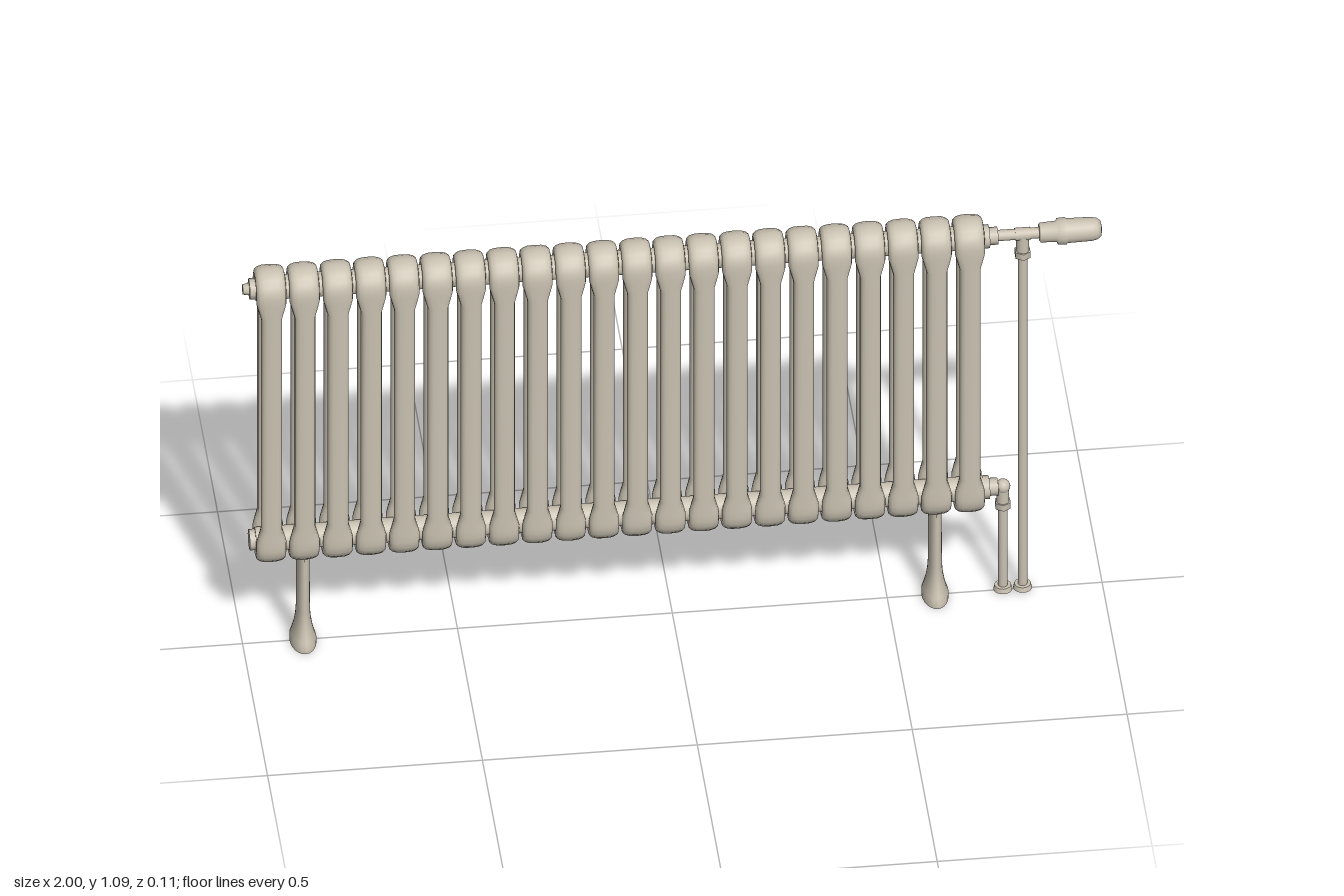
import * as THREE from 'three';

const TOP = 1.037, BOTTOM = 0.303;
const SECTIONS = 22, FIRST_X = -0.937, PITCH = 0.0774;

// Closed loop of tube: two columns joined by wider, rounded heads
function sectionGeometry() {
  const stations = [];
  const add = (y, z, angle, halfWidth) => stations.push({ y, z, angle, halfWidth });
  const R = 0.0372, HEAD = 0.035, COLUMN = 0.0245, ARC = 10, SIDES = 16, HALF_DEPTH = 0.0178;
  const side = [[BOTTOM + 0.018, HEAD], [BOTTOM + 0.035, 0.031], [BOTTOM + 0.06, COLUMN],
    [TOP - 0.06, COLUMN], [TOP - 0.035, 0.031], [TOP - 0.018, HEAD]];
  for (const [y, w] of side) add(y, R, 0, w);
  for (let i = 0; i <= ARC; i++) {
    const a = Math.PI * i / ARC;
    add(TOP + R * Math.sin(a), R * Math.cos(a), a, HEAD);
  }
  for (const [y, w] of [...side].reverse()) add(y, -R, Math.PI, w);
  for (let i = 0; i <= ARC; i++) {
    const a = Math.PI * (1 + i / ARC);
    add(BOTTOM + R * Math.sin(a), R * Math.cos(a), a, HEAD);
  }
  const soft = v => Math.sign(v) * Math.pow(Math.abs(v), 0.75);
  const pos = [], idx = [], n = stations.length;
  stations.forEach((s, i) => {
    for (let j = 0; j < SIDES; j++) {
      const p = 2 * Math.PI * j / SIDES;
      const d = HALF_DEPTH * soft(Math.sin(p));
      pos.push(s.halfWidth * soft(Math.cos(p)), s.y + d * Math.sin(s.angle), s.z + d * Math.cos(s.angle));
      const k = (j + 1) % SIDES, m = (i + 1) % n;
      const a = i * SIDES + j, b = m * SIDES + j, c = i * SIDES + k, e = m * SIDES + k;
      idx.push(a, b, c, b, e, c);
    }
  });
  const g = new THREE.BufferGeometry();
  g.setAttribute('position', new THREE.Float32BufferAttribute(pos, 3));
  g.setIndex(idx);
  g.computeVertexNormals();
  return g;
}

// Flared oval leg from stacked [y, half width, half depth] rings
function legGeometry() {
  const rings = [[0, 0.031, 0.056], [0.012, 0.031, 0.056], [0.024, 0.027, 0.051], [0.045, 0.022, 0.042],
    [0.07, 0.018, 0.036], [0.1, 0.016, 0.033], [0.27, 0.015, 0.033]];
  const g = new THREE.CylinderGeometry(1, 1, 1, 24, rings.length - 1);
  const p = g.attributes.position;
  for (let i = 0; i < p.count; i++) {
    const r = rings[Math.round((p.getY(i) + 0.5) * (rings.length - 1))];
    p.setXYZ(i, p.getX(i) * r[1], r[0], p.getZ(i) * r[2]);
  }
  g.computeVertexNormals();
  return g;
}

export function createModel() {
  const model = new THREE.Group();
  model.name = 'columnRadiator';
  const enamel = new THREE.MeshStandardMaterial({ color: 0xc9c1b1 });
  enamel.name = 'warm grey enamel';

  const put = (name, geometry, x, y, z = 0) => {
    const mesh = new THREE.Mesh(geometry, enamel);
    mesh.name = name;
    mesh.position.set(x, y, z);
    model.add(mesh);
    return mesh;
  };
  // Cylinders along x or y, given by start and end
  const rodX = (name, x0, x1, y, r, sides = 20, r1 = r) => {
    const mesh = put(name, new THREE.CylinderGeometry(r1, r, x1 - x0, sides), (x0 + x1) / 2, y);
    mesh.rotation.z = -Math.PI / 2;
    return mesh;
  };
  const rodY = (name, x, y0, y1, r, sides = 16, r1 = r) =>
    put(name, new THREE.CylinderGeometry(r1, r, y1 - y0, sides), x, (y0 + y1) / 2);

  // Sections
  const section = sectionGeometry();
  for (let i = 0; i < SECTIONS; i++) put('section', section, FIRST_X + i * PITCH, 0);
  const lastX = FIRST_X + (SECTIONS - 1) * PITCH;

  // Headers joining the sections, with end plugs
  for (const [label, y] of [['upper', TOP], ['lower', BOTTOM]]) {
    rodX(label + 'Header', FIRST_X - 0.034, lastX + 0.034, y, 0.029, 24);
    rodX(label + 'LeftPlug', -0.985, FIRST_X - 0.03, y, 0.025, 8);
    rodX(label + 'RightBushing', lastX + 0.03, 0.737, y, 0.028, 8);
    rodX(label + 'UnionNut', 0.737, 0.757, y, 0.021, 8);
  }
  rodX('ventStem', -1, -0.984, TOP, 0.012, 12, 0.015).name = 'airVent';

  // Legs under the second section from each end
  const leg = legGeometry();
  for (const i of [1, SECTIONS - 2]) put('leg', leg, FIRST_X + i * PITCH, 0);

  // Thermostatic valve and its supply pipe
  rodX('valveBody', 0.75, 0.86, TOP, 0.013);
  rodX('valveTee', 0.797, 0.833, TOP, 0.015);
  const knob = [[0, 0.853], [0.019, 0.853], [0.023, 0.856], [0.025, 0.893], [0.031, 0.896], [0.032, 0.915],
    [0.029, 0.918], [0.028, 0.975], [0.025, 0.988], [0.018, 0.997], [0, 1]];
  const head = put('thermostatHead',
    new THREE.LatheGeometry(knob.map(([r, h]) => new THREE.Vector2(r, h)), 24), 0, TOP);
  head.rotation.z = -Math.PI / 2;
  rodY('supplyPipe', 0.815, 0, 1.03, 0.011);
  rodY('supplyCollar', 0.815, 0.985, TOP, 0.015);
  rodY('supplyNut', 0.815, 0.973, 0.99, 0.02, 6);

  // Return elbow and pipe
  rodX('returnStub', 0.74, 0.768, BOTTOM, 0.014);
  put('returnElbow', new THREE.SphereGeometry(0.0175, 16, 12), 0.769, BOTTOM);
  rodY('returnCollar', 0.769, 0.255, BOTTOM, 0.015);
  rodY('returnNut', 0.769, 0.243, 0.26, 0.02, 6);
  rodY('returnPipe', 0.769, 0, 0.25, 0.011);

  // Floor collars
  for (const x of [0.769, 0.815]) rodY('floorCollar', x, 0.003, 0.015, 0.022, 20, 0.019);

  return model;
}
